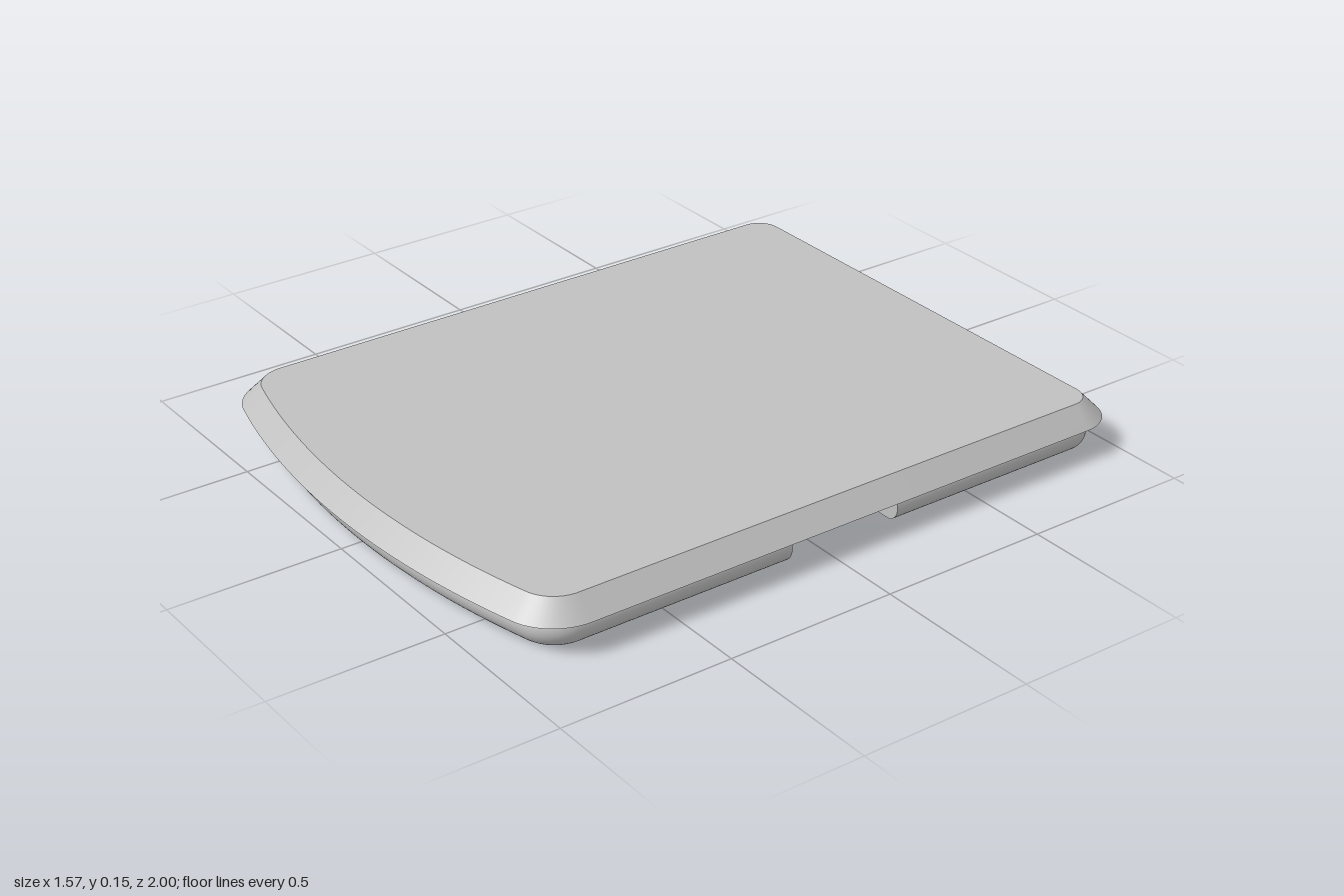
import * as THREE from 'three';
import { toCreasedNormals } from 'three/addons/utils/BufferGeometryUtils.js';

const HALF_WIDTH = 0.785;
const BACK_RADIUS = 0.12;
const FRONT_RADIUS = 0.16;
const BOW_RADIUS = 2.6; // shallow curve of the front edge
const UNDERSIDE = 0.09;
const TOP = 0.147;

// Points [x, z] along an arc, angles measured from +x towards +z
function arc(cx, cz, radius, from, to, steps) {
  return Array.from({ length: steps + 1 }, (_, i) => {
    const a = from + (to - from) * i / steps;
    return [cx + radius * Math.cos(a), cz + radius * Math.sin(a)];
  });
}

// Rear half of the outline, inset by d, running from +x round to -x
function backPath(d, endZ) {
  const cx = HALF_WIDTH - BACK_RADIUS, cz = -1 + BACK_RADIUS, r = BACK_RADIUS - d;
  return [
    [HALF_WIDTH - d, endZ],
    ...arc(cx, cz, r, 0, -Math.PI / 2, 12),
    ...arc(-cx, cz, r, -Math.PI / 2, -Math.PI, 12),
    [-HALF_WIDTH + d, endZ],
  ];
}

// Bowed front half of the outline, inset by d, running from -x round to +x
function frontPath(d, endZ) {
  const cx = HALF_WIDTH - FRONT_RADIUS, bowZ = 1 - BOW_RADIUS;
  const reach = BOW_RADIUS - FRONT_RADIUS;
  const cz = bowZ + Math.sqrt(reach * reach - cx * cx);
  const turn = Math.asin(cx / reach), half = Math.PI / 2, r = FRONT_RADIUS - d;
  return [
    [-HALF_WIDTH + d, endZ],
    ...arc(-cx, cz, r, Math.PI, half + turn, 12),
    ...arc(0, bowZ, BOW_RADIUS - d, half + turn, half - turn, 32).slice(1, -1),
    ...arc(cx, cz, r, half - turn, 0, 12),
    [HALF_WIDTH - d, endZ],
  ];
}

// Skin between rings of equal length, keeping hard edges sharp
function loft(rings, closed) {
  const n = rings[0].length, last = rings.length - 1;
  const positions = rings.flat(2), index = [];
  const id = (ring, i) => ring * n + (i % n);
  for (let k = 0; k < last; k++) {
    for (let i = 0; i < (closed ? n : n - 1); i++) {
      index.push(id(k, i), id(k, i + 1), id(k + 1, i + 1));
      index.push(id(k, i), id(k + 1, i + 1), id(k + 1, i));
    }
  }
  if (closed) {
    // Flat bottom and top
    for (let i = 1; i < n - 1; i++) {
      index.push(id(0, 0), id(0, i + 1), id(0, i));
      index.push(id(last, 0), id(last, i), id(last, i + 1));
    }
  } else {
    // Flat cut ends
    for (let k = 1; k < last; k++) {
      index.push(id(0, 0), id(k, 0), id(k + 1, 0));
      index.push(id(0, n - 1), id(k + 1, n - 1), id(k, n - 1));
    }
  }
  const geometry = new THREE.BufferGeometry();
  geometry.setAttribute('position', new THREE.Float32BufferAttribute(positions, 3));
  geometry.setIndex(index);
  // Enlarged while creasing so that close vertices stay distinct
  geometry.scale(100, 100, 100);
  return toCreasedNormals(geometry, 0.35).scale(0.01, 0.01, 0.01);
}

const atHeight = (points, y) => points.map(([x, z]) => [x, y, z]);

// Lip section as [inset, y]: flat inner wall, flat bottom, bulging outer side
function lipProfile() {
  const outer = 0.04, bulge = 0.03, half = UNDERSIDE / 2;
  const radius = (half * half + bulge * bulge) / (2 * bulge);
  const spread = Math.asin(half / radius);
  const profile = [[0.115, UNDERSIDE], [0.115, 0]];
  for (let i = 0; i <= 14; i++) {
    const a = -spread + 2 * spread * i / 14;
    profile.push([outer + radius * (1 - Math.cos(a)), half + radius * Math.sin(a)]);
  }
  return profile;
}

export function createModel() {
  const group = new THREE.Group();
  group.name = 'lid';
  const grey = new THREE.MeshStandardMaterial({ color: 0xc0c0c0 });
  grey.name = 'light grey';

  const add = (name, geometry) => {
    const mesh = new THREE.Mesh(geometry, grey);
    mesh.name = name;
    group.add(mesh);
  };

  // Cover plate with a sloping rim
  const outline = (d) => [...backPath(d, -0.24), ...frontPath(d, 0.11)];
  add('coverPlate', loft([
    atHeight(outline(0), UNDERSIDE),
    atHeight(outline(0.056), TOP),
  ], true));

  // Two U-shaped lips beneath, leaving a gap on each side
  const profile = lipProfile();
  add('backLip', loft(profile.map(([d, y]) => atHeight(backPath(d, -0.24), y)), false));
  add('frontLip', loft(profile.map(([d, y]) => atHeight(frontPath(d, 0.11), y)), false));

  return group;
}
